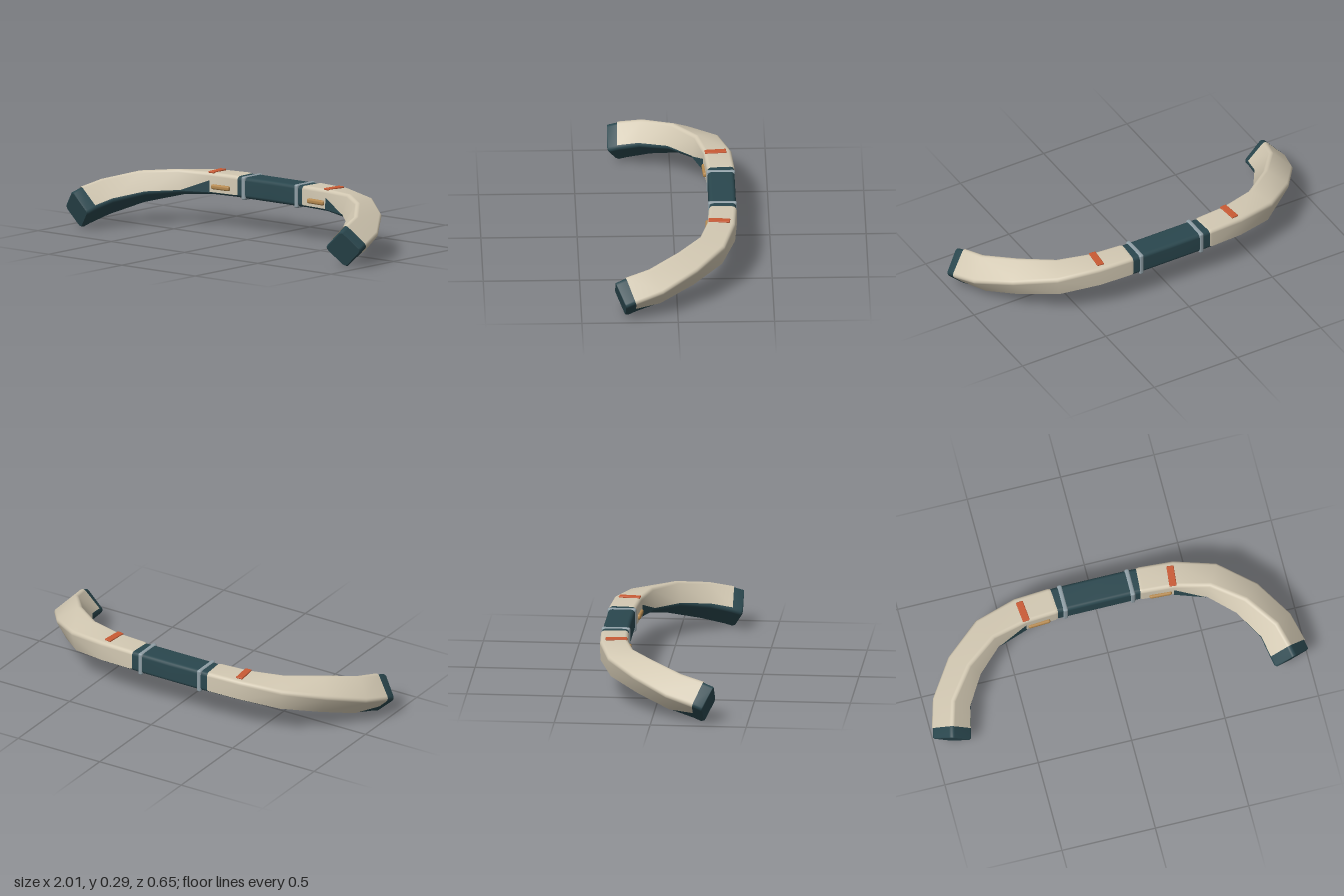
import * as THREE from 'three';
import { RoundedBoxGeometry } from 'three/addons/geometries/RoundedBoxGeometry.js';

const material = (name, color, side = THREE.FrontSide) => {
  const m = new THREE.MeshStandardMaterial({ color, side });
  m.name = name;
  return m;
};

// Stations of one arm: centre x, y, z, half width, half height, roll in degrees
const ARM = [
  [0.225, 0.235, -0.251, 0.070, 0.056, 0],
  [0.24, 0.235, -0.250, 0.073, 0.059, 0],
  [0.41, 0.233, -0.238, 0.074, 0.060, 2],
  [0.60, 0.220, -0.180, 0.075, 0.065, 13],
  [0.755, 0.195, -0.045, 0.077, 0.071, 28],
  [0.865, 0.150, 0.120, 0.079, 0.077, 40],
  [0.897, 0.118, 0.245, 0.080, 0.080, 45],
];
const INSET = 0.004;
const CORE = [
  [0, 0.235, -0.251, 0.074, 0.060, 0],
  [0.18, 0.235, -0.251, 0.074, 0.060, 0],
  ...ARM.slice(1),
  [0.908, 0.102, 0.290, 0.080, 0.080, 45],
  [0.910, 0.100, 0.297, 0.074, 0.074, 45],
];

// Local axes at every station: outward and upward, turned by the roll
function frames(stations) {
  const centres = stations.map((s) => new THREE.Vector3(s[0], s[1], s[2]));
  return stations.map(([, , , w, h, roll], i) => {
    const t = centres[Math.min(i + 1, centres.length - 1)].clone()
      .sub(centres[Math.max(i - 1, 0)]).normalize();
    const out = new THREE.Vector3(0, 1, 0).cross(t).normalize();
    const up = t.clone().cross(out);
    const r = THREE.MathUtils.degToRad(roll);
    return {
      w, h,
      at(a, b) {
        const o = a * Math.cos(r) + b * Math.sin(r);
        const u = b * Math.cos(r) - a * Math.sin(r);
        return centres[i].clone().addScaledVector(out, o).addScaledVector(up, u);
      },
    };
  });
}

// Rounded corner of the section, in the quadrant sa, sb
function corner(w, h, sa, sb, start, r = 0.02) {
  return [0, 1, 2, 3, 4].map((k) => {
    const a = start + (k / 4) * Math.PI / 2;
    return [sa * (w - r) + r * Math.cos(a), sb * (h - r) + r * Math.sin(a)];
  });
}

// Skin over a row of rings; side -1 mirrors it to the other arm
function skin(rings, side, closed, capEnd) {
  const n = rings[0].length, pos = [], idx = [];
  const tri = (a, b, c) => (side > 0 ? idx.push(a, b, c) : idx.push(a, c, b));
  const add = (p) => pos.push(p.x * side, p.y, p.z);
  rings.forEach((ring) => ring.forEach(add));
  for (let i = 0; i < rings.length - 1; i++) {
    for (let j = 0; j < (closed ? n : n - 1); j++) {
      const k = (j + 1) % n, a = i * n, b = a + n;
      tri(a + j, a + k, b + k);
      tri(a + j, b + k, b + j);
    }
  }
  if (capEnd) {
    const base = pos.length / 3;
    rings[rings.length - 1].forEach(add);
    for (let j = 1; j < n - 1; j++) tri(base, base + j, base + j + 1);
  }
  const g = new THREE.BufferGeometry();
  g.setAttribute('position', new THREE.Float32BufferAttribute(pos, 3));
  g.setIndex(idx);
  g.computeVertexNormals();
  return g;
}

export function createModel() {
  const model = new THREE.Group();
  const cream = material('cream shell', 0xd2c8b2, THREE.DoubleSide);
  const teal = material('dark teal', 0x2a474e);
  const grey = material('grey metal', 0x8f9ea5);
  const orange = material('orange', 0xc95a34);
  const bronze = material('bronze', 0xb5894f);

  const add = (name, geometry, mat, x = 0, y = 0, z = 0, ry = 0) => {
    const m = new THREE.Mesh(geometry, mat);
    m.name = name;
    m.position.set(x, y, z);
    m.rotation.y = ry;
    model.add(m);
  };

  // Dark core: full rounded section, running from the grip to the tip
  const coreRings = frames(CORE).map(({ w, h, at }) => {
    const a = w - INSET, b = h - INSET;
    return [
      ...corner(a, b, 1, 1, 0), ...corner(a, b, -1, 1, Math.PI / 2),
      ...corner(a, b, -1, -1, Math.PI), ...corner(a, b, 1, -1, Math.PI * 1.5),
    ].map(([p, q]) => at(p, q));
  });

  // Cream shell: over the top and both sides, open underneath
  const armFrames = frames(ARM);
  const shellRings = armFrames.map(({ w, h, at }, i) => {
    const outerEdge = i === ARM.length - 1 ? 0.0 : -0.72;
    return [
      [w, outerEdge * h], ...corner(w, h, 1, 1, 0),
      ...corner(w, h, -1, 1, Math.PI / 2), [-w, -0.72 * h],
    ].map(([p, q]) => at(p, q));
  });

  // Dark corner panel on the inner side of the bend
  const [f2, f3] = [armFrames[2], armFrames[3]];
  const panel = [
    f2.at(-f2.w - 0.003, 0.3 * f2.h),
    f2.at(-f2.w - 0.003, -0.75 * f2.h),
    f3.at(-f3.w - 0.003, -0.75 * f3.h),
  ];

  for (const side of [1, -1]) {
    const label = side > 0 ? 'left' : 'right';
    add(label + 'Core', skin(coreRings, side, true, true), teal);
    add(label + 'Shell', skin(shellRings, side, false, false), cream);

    const pg = new THREE.BufferGeometry().setFromPoints(
      panel.map((p) => new THREE.Vector3(p.x * side, p.y, p.z)));
    pg.setIndex(side > 0 ? [0, 1, 2] : [0, 2, 1]);
    pg.computeVertexNormals();
    add(label + 'InnerPanel', pg, teal);

    add(label + 'Collar', new RoundedBoxGeometry(0.026, 0.124, 0.15, 3, 0.01), grey,
      side * 0.18, 0.233, -0.25);
    add(label + 'TopTag', new RoundedBoxGeometry(0.038, 0.01, 0.112, 2, 0.004), orange,
      side * 0.398, 0.295, -0.228, side * -0.1);
    add(label + 'InnerBar', new RoundedBoxGeometry(0.118, 0.026, 0.026, 3, 0.01), bronze,
      side * 0.325, 0.222, -0.17, side * -0.05);
  }
  return model;
}
